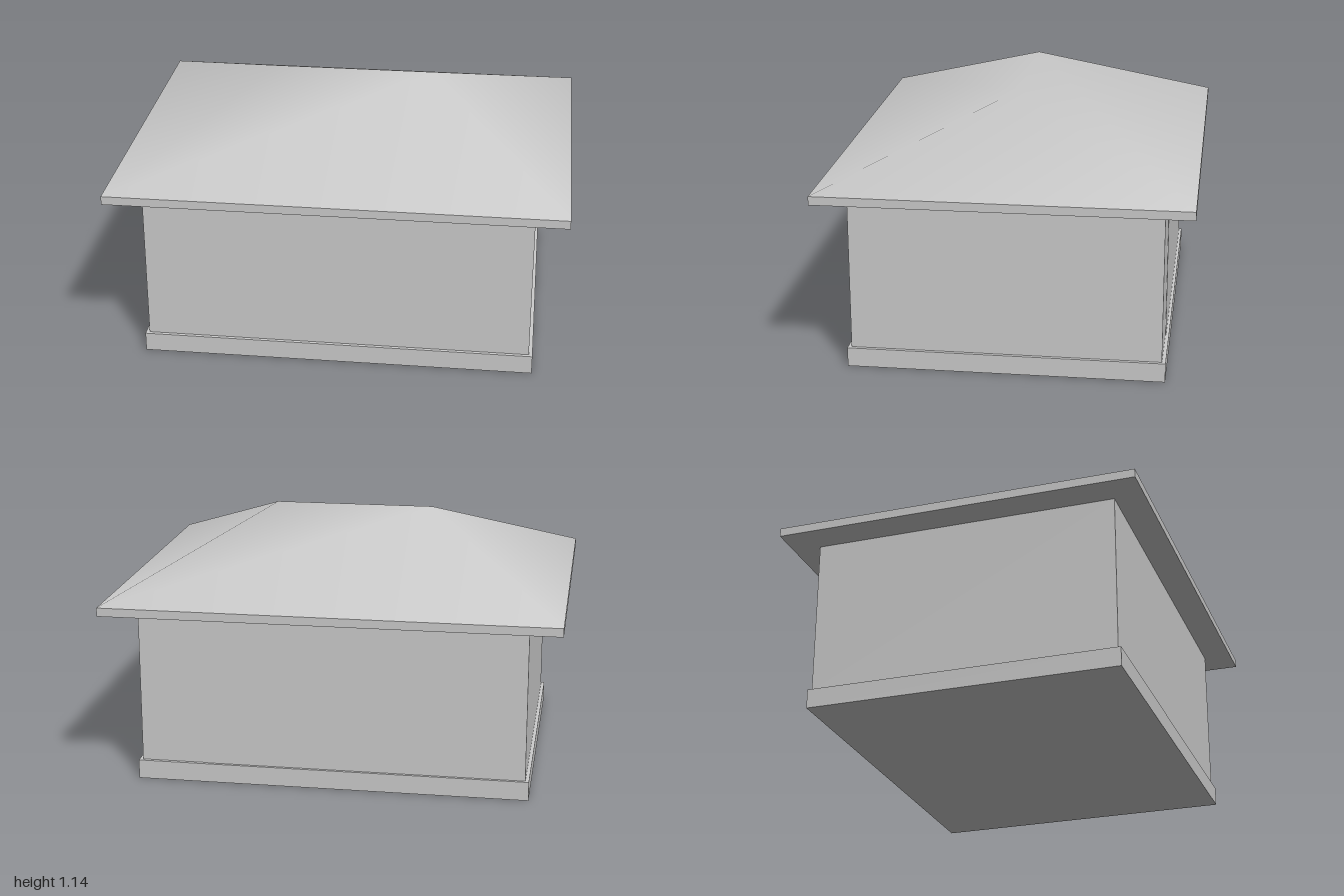
import * as THREE from 'three';

const material = new THREE.MeshStandardMaterial({ color: 0xcccccc });

// Box centred on x, standing between two heights
function block(name, width, depth, bottom, top, x = 0, z = 0) {
  const mesh = new THREE.Mesh(new THREE.BoxGeometry(width, top - bottom, depth), material);
  mesh.name = name;
  mesh.position.set(x, (bottom + top) / 2, z);
  return mesh;
}

// Hipped roof: four eave corners rising to a short ridge, softly shaded across the hips
function hippedRoof(halfWidth, halfDepth, halfRidge, eave, ridge) {
  const geometry = new THREE.BufferGeometry();
  geometry.setAttribute('position', new THREE.Float32BufferAttribute([
    -halfWidth, eave, halfDepth,
    halfWidth, eave, halfDepth,
    halfWidth, eave, -halfDepth,
    -halfWidth, eave, -halfDepth,
    halfRidge, ridge, 0,
    -halfRidge, ridge, 0,
  ], 3));
  geometry.setIndex([
    0, 1, 4, 0, 4, 5, // front slope
    1, 2, 4, // left hip
    2, 3, 5, 2, 5, 4, // back slope
    3, 0, 5, // right hip
  ]);
  geometry.computeVertexNormals();
  const mesh = new THREE.Mesh(geometry, material);
  mesh.name = 'roof';
  return mesh;
}

export function createModel() {
  const house = new THREE.Group();
  house.name = 'house';
  house.add(
    block('foundation', 1.74, 1.384, 0, 0.085),
    block('walls', 1.708, 1.352, 0.085, 0.78),
    // Wide, barely raised panel on the back wall
    block('backPanel', 1.409, 0.01, 0.085, 0.78, -0.1495, -0.674),
    block('eaves', 2, 1.61, 0.78, 0.818),
    hippedRoof(1, 0.805, 0.36, 0.818, 1.136),
  );
  return house;
}
